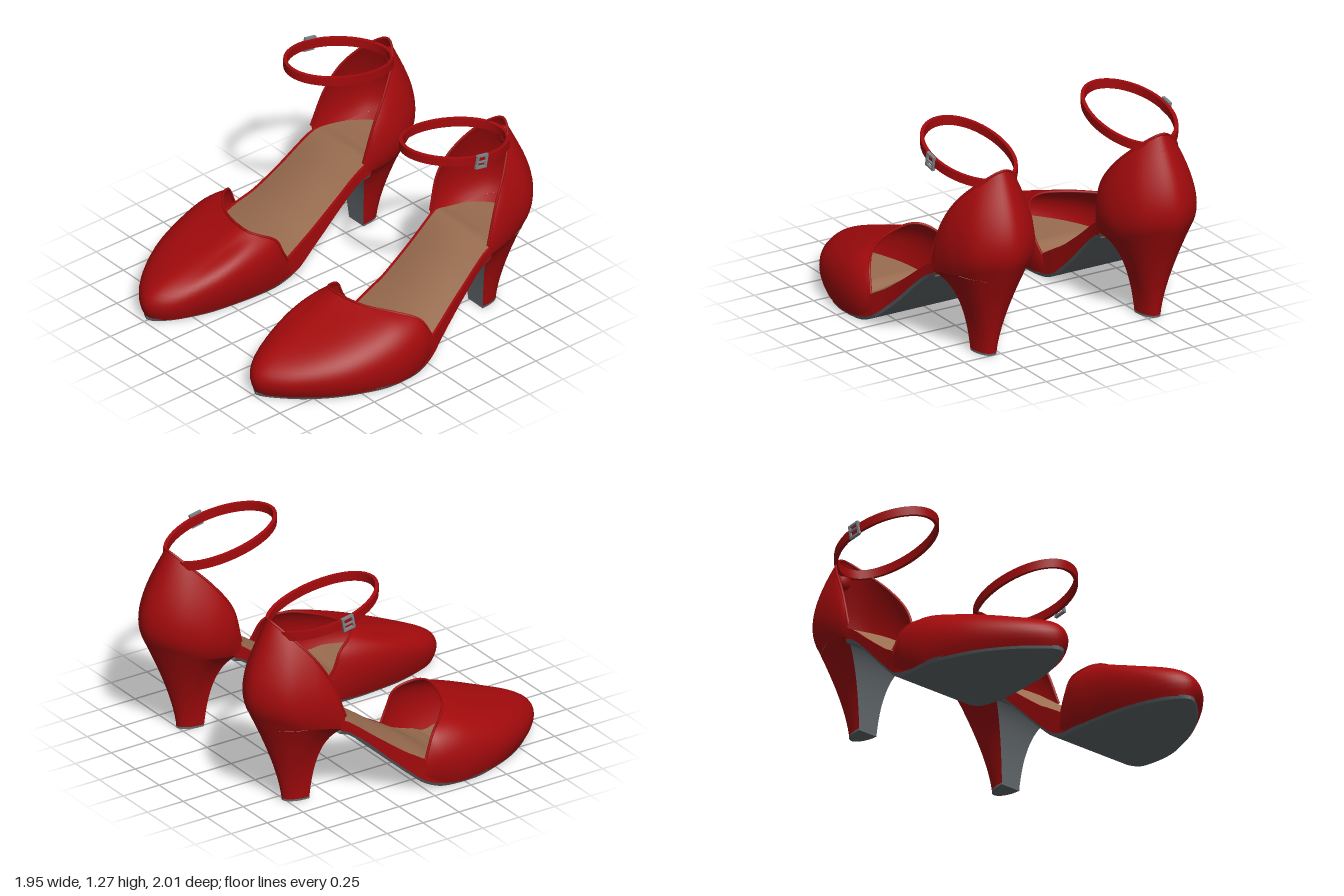
import * as THREE from 'three';
import { mergeGeometries, toCreasedNormals } from 'three/addons/utils/BufferGeometryUtils.js';

const V = (x, y, z) => new THREE.Vector3(x, y, z);
const mat = (name, color) => {
  const m = new THREE.MeshStandardMaterial({ color, side: THREE.DoubleSide });
  m.name = name;
  return m;
};

// Smooth surface through equal-length rows of points
function grid(rows) {
  const n = rows[0].length, index = [];
  for (let i = 0; i < rows.length - 1; i++)
    for (let j = 0; j < n - 1; j++) {
      const a = i * n + j, b = a + n;
      index.push(a, b, a + 1, b, b + 1, a + 1);
    }
  const g = new THREE.BufferGeometry().setFromPoints(rows.flat());
  g.setIndex(index);
  g.computeVertexNormals();
  return g;
}

// Cubic ribs (base, two handles, edge) blended smoothly along the outline
function ribs(sections, steps, perRib) {
  const rails = [0, 1, 2, 3].map(k => new THREE.CatmullRomCurve3(
    sections.map(s => s[k].isVector3 ? s[k] : V(...s[k]))));
  const rows = [];
  for (let i = 0; i <= steps; i++)
    rows.push(new THREE.CubicBezierCurve3(...rails.map(r => r.getPoint(i / steps))).getPoints(perRib));
  return { rows, edge: rails[3] };
}

// Blend a table of numeric stations with smooth curves, three columns at a time
function stations(table, steps) {
  const cols = [0, 3].map(c => new THREE.CatmullRomCurve3(
    table.map(r => V(r[c], r[c + 1], r[c + 2]))));
  return Array.from({ length: steps + 1 }, (_, i) =>
    cols.flatMap(c => c.getPoint(i / steps).toArray()));
}

// Toe shell, outer side round the toe to the inner side
const VAMP = [
  [[.905, .05, 0], [.92, .1, 0], [.925, .15, 0], [.92, .205, 0]],
  [[.94, .018, .15], [.985, .14, .13], [.97, .27, .1], [.885, .335, .07]],
  [[.945, .015, .32], [1, .18, .34], [.95, .35, .27], [.8, .385, .18]],
  [[.85, .015, .62], [.93, .22, .7], [.82, .33, .45], [.66, .4, .285]],
  [[.65, .015, .89], [.7, .22, 1.02], [.61, .27, .65], [.54, .41, .33]],
  [[.51, .015, .98], [.51, .24, 1.1], [.47, .25, .7], [.45, .415, .345]],
  [[.405, .015, .9], [.355, .22, 1.02], [.4, .27, .65], [.38, .405, .335]],
  [[.32, .015, .65], [.23, .24, .7], [.28, .33, .48], [.33, .385, .29]],
  [[.29, .015, .35], [.22, .18, .35], [.25, .3, .3], [.29, .335, .2]],
  [[.295, .018, .18], [.265, .12, .18], [.27, .18, .17], [.282, .24, .155]],
  [[.31, .04, .08], [.3, .08, .08], [.3, .11, .09], [.3, .15, .1]],
];
// Heel counter, outer side round the back to the inner side
const COUNTER = [
  [[.815, .5, -.5], [.82, .54, -.5], [.822, .56, -.5], [.82, .58, -.49]],
  [[.805, .52, -.6], [.84, .63, -.58], [.82, .75, -.56], [.79, .82, -.575]],
  [[.78, .54, -.72], [.84, .68, -.72], [.8, .85, -.66], [.745, .98, -.67]],
  [[.72, .58, -.86], [.78, .73, -.92], [.72, .95, -.83], [.64, 1.12, -.785]],
  [[.56, .6, -.965], [.56, .78, -1.06], [.54, .98, -.92], [.535, 1.18, -.835]],
  [[.4, .58, -.88], [.34, .73, -.95], [.37, .95, -.83], [.43, 1.12, -.78]],
  [[.32, .54, -.74], [.24, .68, -.75], [.28, .85, -.65], [.34, .98, -.65]],
  [[.3, .52, -.62], [.245, .62, -.58], [.27, .75, -.54], [.305, .82, -.54]],
  [[.31, .5, -.48], [.31, .54, -.47], [.31, .56, -.47], [.315, .58, -.47]],
];
// Shank: z, inner x, outer x, sole bottom, sole top, rim top
const SHANK = [
  [.2, .29, .947, 0, .02, .09], [.1, .305, .935, .006, .028, .14],
  [0, .31, .915, .045, .065, .2], [-.1, .318, .885, .125, .145, .258],
  [-.2, .32, .862, .215, .235, .33], [-.3, .32, .845, .31, .33, .405],
  [-.4, .318, .83, .4, .42, .485], [-.47, .312, .82, .45, .47, .535],
  [-.52, .305, .815, .465, .49, .555],
];
// Forefoot sole outline: z, inner x, outer x
const TOE = [[.985, .51, .515], [.97, .465, .555], [.9, .41, .64], [.8, .365, .735],
  [.65, .32, .835], [.5, .3, .9], [.35, .288, .945]];
// Insole in the heel cup: z, inner x, outer x, y, crown height
const SEAT = [[-.6, .31, .8, .55, .004], [-.75, .34, .77, .536, 0],
  [-.86, .43, .69, .53, 0], [-.91, .53, .59, .53, 0]];
const CROWN = [.035, .045, .05, .05, .045, .035, .02, .012];
const TILT = .015, LIP = .014;

function createShoe(M) {
  const shoe = new THREE.Group();
  const add = (name, g, m) => {
    const mesh = new THREE.Mesh(g, m);
    mesh.name = name;
    shoe.add(mesh);
    return mesh;
  };

  // Upper shells with rolled edges
  for (const [name, data] of [['toeVamp', VAMP], ['heelCounter', COUNTER]]) {
    const { rows, edge } = ribs(data, 64, 18);
    add(name, grid(rows), M.red);
    add(name + 'Rim', new THREE.TubeGeometry(edge, 64, .008, 6), M.red);
  }

  // Heel: ribs drop from the counter base to a D-shaped tip, hollowed toward the breast
  const heel = ribs(COUNTER.map(([[x, y, z]], i) => {
    const a = Math.PI * i / (COUNTER.length - 1), front = Math.cos(a) ** 4;
    const t = V(.555 + .068 * Math.cos(a), .012, -.612 - .142 * Math.sin(a));
    const mix = (h, v) => V(x + (t.x - x) * h, y + (t.y - y) * v, z + (t.z - z) * h);
    return [V(x, y, z), mix(.42 + .28 * front, .31 - .14 * front), mix(.89 + .02 * front, .7 - .1 * front), t];
  }), 48, 18).rows;
  add('heel', grid(heel), M.red);
  add('heelBreast', grid([heel[0], heel[48]]), M.grey);
  const tipShape = new THREE.Shape(heel.map(r => new THREE.Vector2(r[18].x, -r[18].z)));
  add('heelTip', new THREE.ExtrudeGeometry(tipShape, { depth: .012, bevelEnabled: false })
    .rotateX(-Math.PI / 2), M.grey);

  // Outsole: underside and edges
  const sole = stations([...TOE.map(r => [...r, 0, .022, 0]), ...SHANK], 72);
  const inset = (a, b) => Math.min(.012, (b - a) / 4);
  add('outsole', mergeGeometries([
    grid(sole.map(([z, a, b, y]) =>
      [V(a + inset(a, b), y, z), V((a + b) / 2, y, z), V(b - inset(a, b), y, z)])),
    grid(sole.map(([z, a, b, y, t]) => [V(a + inset(a, b), y, z), V(a, t, z)])),
    grid(sole.map(([z, a, b, y, t]) => [V(b - inset(a, b), y, z), V(b, t, z)])),
  ]), M.grey);

  // Red side walls of the shank, with a narrow top lip
  const wall = stations(SHANK, 36);
  add('shankRim', toCreasedNormals(mergeGeometries([
    grid(wall.map(([z, a, , , t, r]) => [V(a, t, z), V(a - .004, r + TILT, z), V(a + LIP, r + TILT, z)])),
    grid(wall.map(([z, , b, , t, r]) => [V(b, t, z), V(b + .004, r, z), V(b - LIP, r, z)])),
  ]), .7), M.red);

  // Insole: fills the toe, crowned across its width, a little higher along the inner side
  const bed = [...TOE.slice(1).map(([z, a, b]) => [z, a, b, .045, 0, 0]),
    [.2, .287, .948, .09, .02, 0],
    ...SHANK.slice(1).map(([z, a, b, , , r], i) => [z, a + LIP, b - LIP, r, CROWN[i], TILT]),
    ...SEAT.map(r => [...r, 0])];
  add('insole', grid(stations(bed, 84).map(([z, a, b, y, crown, tilt]) =>
    Array.from({ length: 9 }, (_, j) => {
      const t = j / 8;
      return V(a + (b - a) * t, y + tilt * (1 - t) + crown * Math.sin(Math.PI * t), z);
    }))), M.tan);

  // Ankle strap: a tilted band
  const strap = [];
  for (let i = 0; i <= 48; i++) {
    const a = i / 48 * Math.PI * 2, c = Math.cos(a), s = Math.sin(a);
    const p = (r, h) => V(.55 + (.235 + r) * c - .015 * s * s, 1.17 + .071 * s + h, -.468 + (.35 + r) * s);
    strap.push([p(.011, -.027), p(.011, .027), p(-.011, .027), p(-.011, -.027), p(.011, -.027)]);
  }
  add('ankleStrap', toCreasedNormals(grid(strap), .7), M.red);

  // Loop holding the strap to the counter
  const loop = add('strapLoop', new THREE.SphereGeometry(1, 16, 10), M.red);
  loop.scale.set(.045, .06, .035);
  loop.position.set(.53, 1.06, -.845);

  // Buckle: square frame with a prong
  const frame = new THREE.Shape([[-.04, -.044], [.04, -.044], [.04, .044], [-.04, .044]]
    .map(p => new THREE.Vector2(...p)));
  frame.holes.push(new THREE.Path([[-.027, -.031], [-.027, .031], [.027, .031], [.027, -.031]]
    .map(p => new THREE.Vector2(...p))));
  const buckle = new THREE.Group();
  buckle.name = 'buckle';
  buckle.add(
    new THREE.Mesh(new THREE.ExtrudeGeometry(frame, { depth: .018, bevelEnabled: false }), M.metal),
    new THREE.Mesh(new THREE.BoxGeometry(.07, .009, .012).translate(0, 0, .016), M.metal));
  buckle.children[0].name = 'buckleFrame';
  buckle.children[1].name = 'bucklePin';
  buckle.rotation.set(0, Math.PI / 2, -.18);
  buckle.position.set(.79, 1.167, -.46);
  shoe.add(buckle);
  return shoe;
}

export function createModel() {
  const M = {
    red: mat('red leather', 0xa30a0c),
    tan: mat('tan insole', 0x9a6d50),
    grey: mat('grey sole', 0x646a6e),
    metal: mat('buckle metal', 0x7d8487),
  };
  const model = new THREE.Group();
  model.name = 'heeledShoes';
  const left = createShoe(M), right = createShoe(M);
  left.name = 'leftShoe';
  right.name = 'rightShoe';
  right.scale.x = -1;
  right.position.z = -.01;
  model.add(left, right);
  return model;
}
